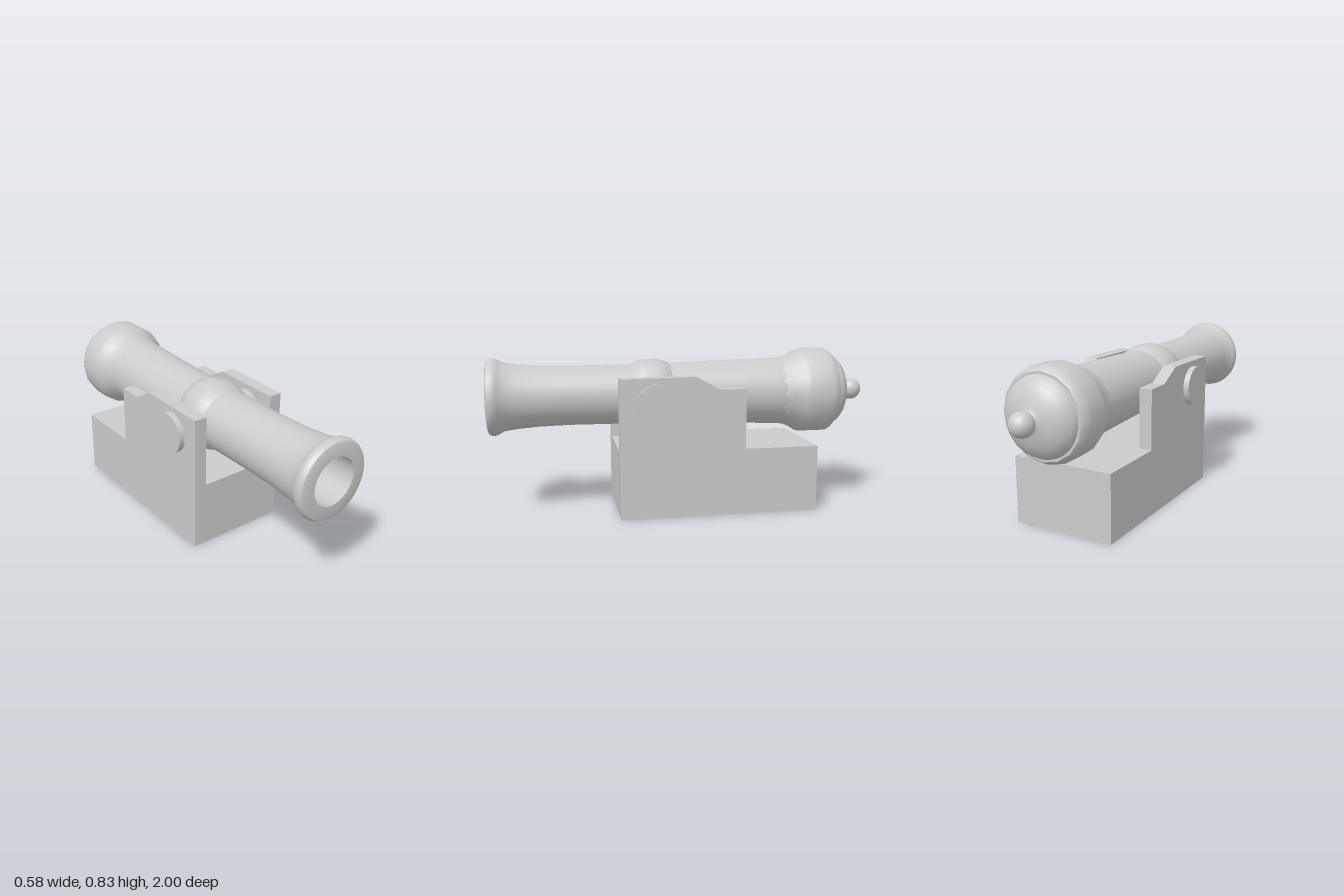
import * as THREE from 'three';
import { toCreasedNormals } from 'three/addons/utils/BufferGeometryUtils.js';

const material = new THREE.MeshStandardMaterial({ color: 0xcccccc });

function add(parent, name, geometry, x = 0, y = 0, z = 0) {
  const mesh = new THREE.Mesh(geometry, material);
  mesh.name = name;
  mesh.position.set(x, y, z);
  parent.add(mesh);
  return mesh;
}

// Turned part along z: profile of [z, radius], from back to front
function turned(profile, segments, crease = 0.6) {
  const points = profile.map(([z, r]) => new THREE.Vector2(r, z));
  const geometry = new THREE.LatheGeometry(points, segments).rotateX(Math.PI / 2);
  return toCreasedNormals(geometry, crease);
}

export function createModel() {
  const model = new THREE.Group();
  model.name = 'cannon';

  // Barrel group, on its own axis
  const barrel = new THREE.Group();
  barrel.name = 'barrel';
  barrel.position.set(-0.001, 0.599, 0);
  model.add(barrel);

  // Tube with flared muzzle and hollow bore
  add(barrel, 'barrelTube', turned([
    [-0.62, 0.18], [-0.5, 0.177], [-0.3, 0.17], [0.06, 0.158], [0.3, 0.154],
    [0.6, 0.152], [0.75, 0.156], [0.86, 0.165], [0.92, 0.174], [0.938, 0.184],
    [0.952, 0.192], [0.968, 0.196], [0.984, 0.194], [0.995, 0.187], [1, 0.175],
    [1, 0.117], [0.4, 0.117], [0.4, 0],
  ], 48));

  // Reinforcing ring above the trunnions
  add(barrel, 'reinforcingRing', turned([
    [0.065, 0.15], [0.075, 0.16], [0.12, 0.177], [0.14, 0.181], [0.205, 0.181],
    [0.225, 0.177], [0.27, 0.16], [0.28, 0.15],
  ], 16));

  // Broad faceted breech band
  add(barrel, 'breechBand', turned([
    [-0.805, 0], [-0.805, 0.205], [-0.795, 0.214], [-0.77, 0.226], [-0.75, 0.228],
    [-0.645, 0.228], [-0.625, 0.222], [-0.59, 0.2], [-0.56, 0.187], [-0.5, 0.176],
  ], 16));

  // Domed end cap and neck
  add(barrel, 'breechCap', turned([
    [-0.91, 0], [-0.91, 0.03], [-0.9, 0.04], [-0.893, 0.065], [-0.88, 0.11],
    [-0.86, 0.15], [-0.835, 0.178], [-0.81, 0.19], [-0.8, 0.191],
  ], 40));
  add(barrel, 'endKnob', new THREE.SphereGeometry(0.058, 32, 20), 0, 0, -0.942);

  // Carriage bed
  const carriage = new THREE.Group();
  carriage.name = 'carriage';
  model.add(carriage);
  add(carriage, 'carriageBed', new THREE.BoxGeometry(0.53, 0.34, 1.02), 0.005, 0.17, -0.15);

  // Stepped cheeks: profile drawn in (z, y), extruded along x
  const cheek = new THREE.Shape([
    [-0.275, 0.34], [0.36, 0.34], [0.36, 0.705], [-0.02, 0.711], [-0.14, 0.645], [-0.275, 0.645],
  ].map(([z, y]) => new THREE.Vector2(-z, y)));
  const cheekGeometry = new THREE.ExtrudeGeometry(cheek, { depth: 0.067, bevelEnabled: false });
  cheekGeometry.rotateY(Math.PI / 2);
  add(carriage, 'leftCheek', cheekGeometry, 0.205, 0, 0);
  add(carriage, 'rightCheek', cheekGeometry, -0.26, 0, 0);

  // Trunnions passing through the cheeks into the barrel
  const trunnion = new THREE.CylinderGeometry(0.102, 0.102, 0.165, 40).rotateZ(Math.PI / 2);
  for (const [side, s] of [['left', 1], ['right', -1]]) {
    add(model, side + 'Trunnion', trunnion, s * 0.2075, 0.577, 0.177);
  }
  return model;
}
